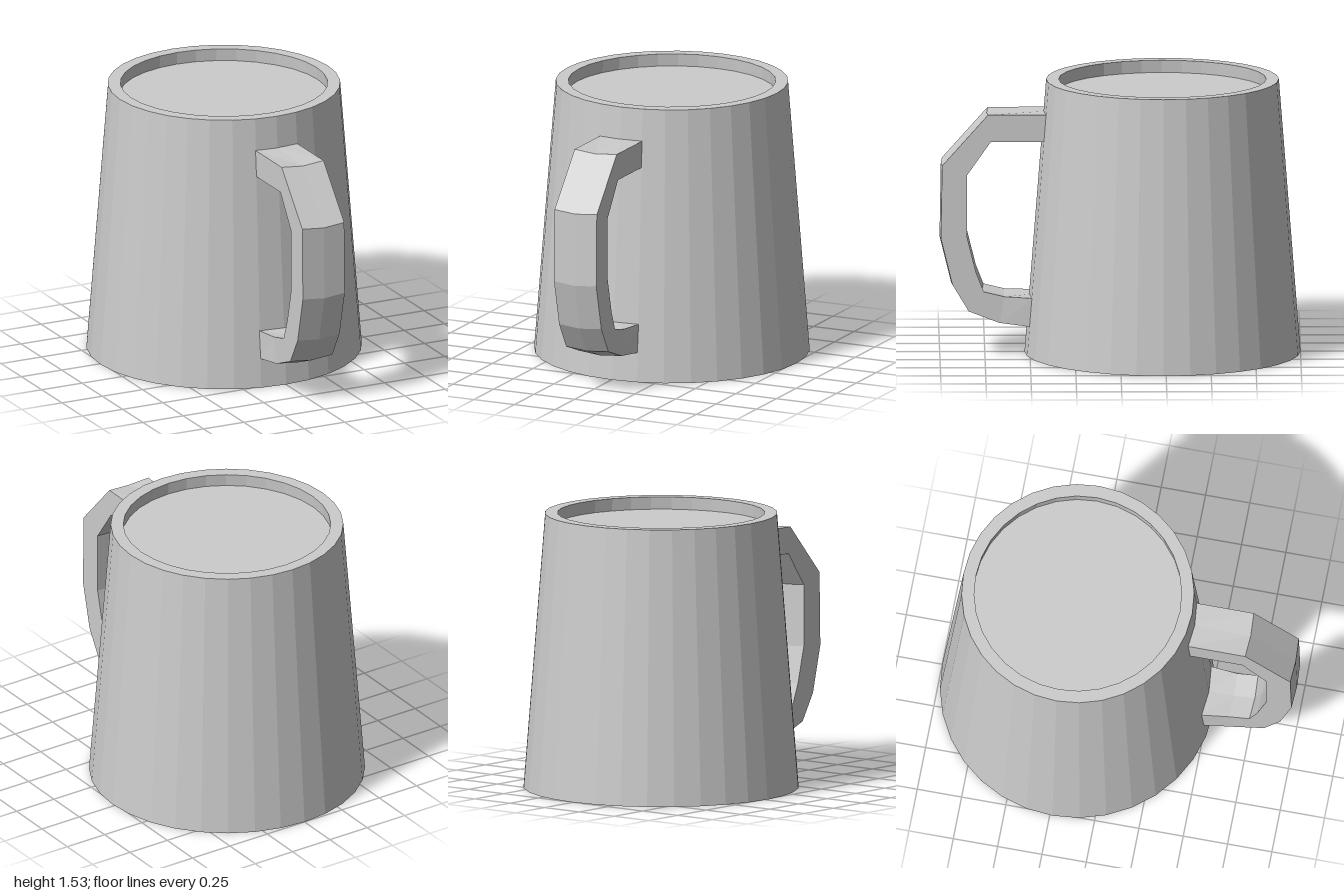
import * as THREE from 'three';

const SIDES = 32;
const CENTRE_Z = -0.235;

// Solid swept through matching outer / inner profile points [z, y, halfWidth]
function sweepHandle(outer, inner) {
  const pos = [], idx = [], n = 6;
  outer.forEach(([zo, yo, w], i) => {
    const [zi, yi] = inner[i];
    // the middle of each fold is drawn slightly out and down
    const out = i === 0 || i === outer.length - 1 ? 0 : 0.01;
    pos.push(-w, yo, zo, 0, yo - out, zo + out * 0.7, w, yo, zo);
    pos.push(w, yi, zi, 0, yi - out, zi + out * 0.7, -w, yi, zi);
  });
  const last = (outer.length - 1) * n;
  for (let i = 0; i < last; i += n) {
    for (let j = 0; j < n; j++) {
      const a = i + j, b = i + (j + 1) % n;
      idx.push(a, a + n, b + n, a, b + n, b);
    }
  }
  for (let j = 1; j < n - 1; j++) {
    idx.push(0, j, j + 1);
    idx.push(last, last + j + 1, last + j);
  }
  const g = new THREE.BufferGeometry();
  g.setAttribute('position', new THREE.Float32BufferAttribute(pos, 3));
  g.setIndex(idx);
  g.computeVertexNormals();
  return g;
}

export function createModel() {
  const group = new THREE.Group();
  group.name = 'mug';
  const mat = new THREE.MeshStandardMaterial({ color: 0xcccccc, flatShading: true });

  const add = (geometry, name) => {
    const mesh = new THREE.Mesh(geometry, mat);
    mesh.name = name;
    group.add(mesh);
    return mesh;
  };

  // Tapered body: base, outer wall, rim, short inner wall
  const profile = [[0, 0], [0.765, 0], [0.645, 1.535], [0.575, 1.535], [0.58, 1.465]]
    .map(([r, y]) => new THREE.Vector2(r, y));
  add(new THREE.LatheGeometry(profile, SIDES), 'body').position.z = CENTRE_Z;

  // Flat drink surface just under the rim
  const drink = add(new THREE.CircleGeometry(0.58, SIDES).rotateX(-Math.PI / 2), 'drinkSurface');
  drink.position.set(0, 1.465, CENTRE_Z);

  // Angular handle, flared where its lower end meets the body
  const w = 0.13;
  const outer = [[0.4, 1.355, w], [0.733, 1.355, w], [0.987, 1.07, w], [0.994, 0.66, w],
    [0.93, 0.4, w], [0.84, 0.25, w], [0.67, 0.185, w], [0.48, 0.163, 0.147]];
  const inner = [[0.4, 1.205], [0.717, 1.205], [0.85, 1.015], [0.85, 0.67],
    [0.8, 0.47], [0.757, 0.36], [0.64, 0.332], [0.48, 0.325]];
  add(sweepHandle(outer, inner), 'handle');

  return group;
}
